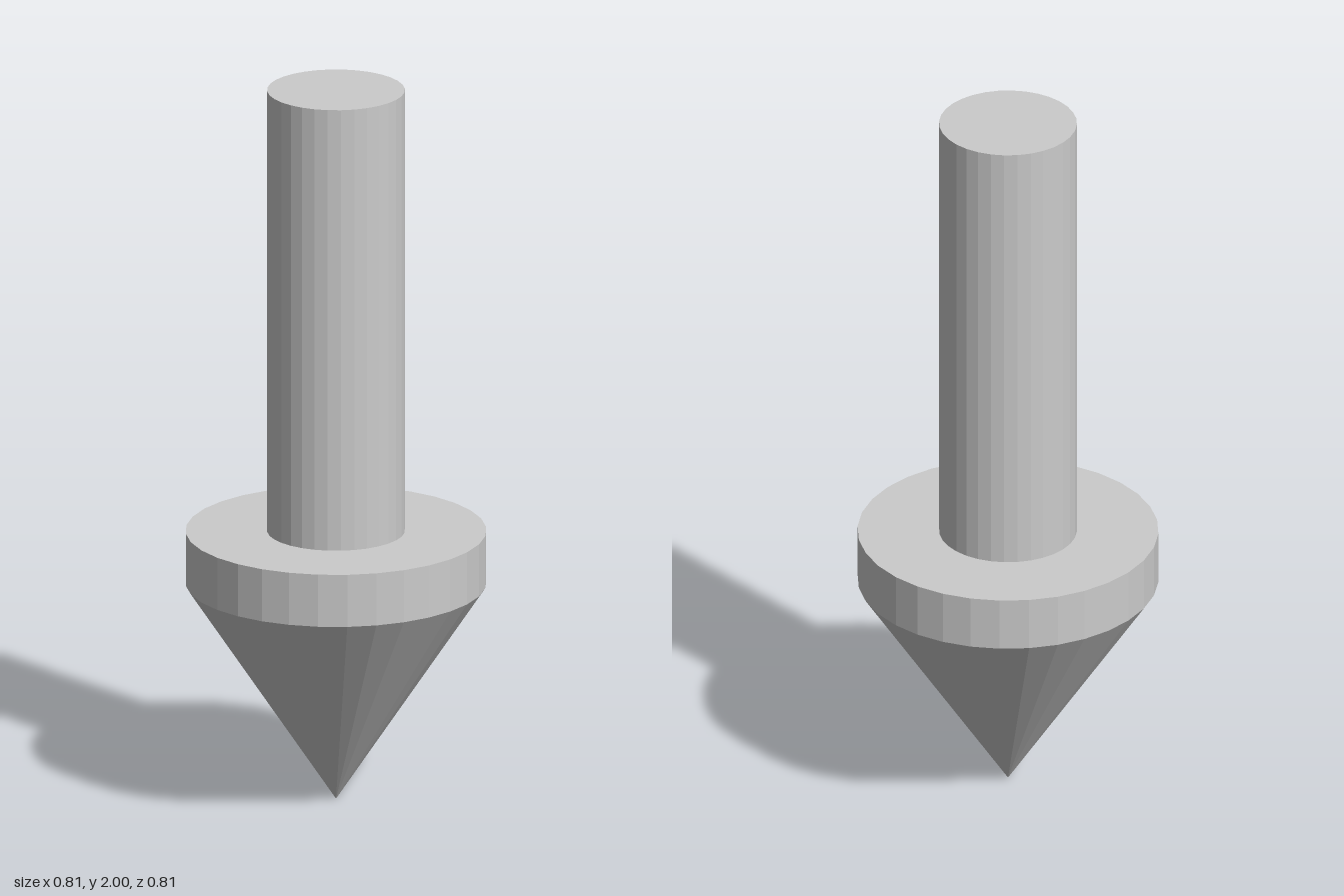
import * as THREE from 'three';

const SIDES = 32;
const COLLAR_RADIUS = 0.406;
const SHAFT_RADIUS = 0.186;
const COLLAR_BOTTOM = 0.61;
const COLLAR_TOP = 0.757;
const TOP = 2;

export function createModel() {
  const group = new THREE.Group();
  group.name = 'pointedPin';
  const material = new THREE.MeshStandardMaterial({ color: 0xcccccc, flatShading: true });

  // Round section between two heights, optionally without end caps
  const addSection = (name, bottomRadius, topRadius, y0, y1, open = false) => {
    const geometry = new THREE.CylinderGeometry(topRadius, bottomRadius, y1 - y0, SIDES, 1, open);
    const mesh = new THREE.Mesh(geometry, material);
    mesh.name = name;
    mesh.position.y = (y0 + y1) / 2;
    group.add(mesh);
  };

  // Conical point, its wide end closed off by the collar
  addSection('tip', 0, COLLAR_RADIUS, 0, COLLAR_BOTTOM, true);
  // Wide flange
  addSection('collar', COLLAR_RADIUS, COLLAR_RADIUS, COLLAR_BOTTOM, COLLAR_TOP);
  // Long upright stem
  addSection('shaft', SHAFT_RADIUS, SHAFT_RADIUS, COLLAR_TOP, TOP);

  return group;
}
